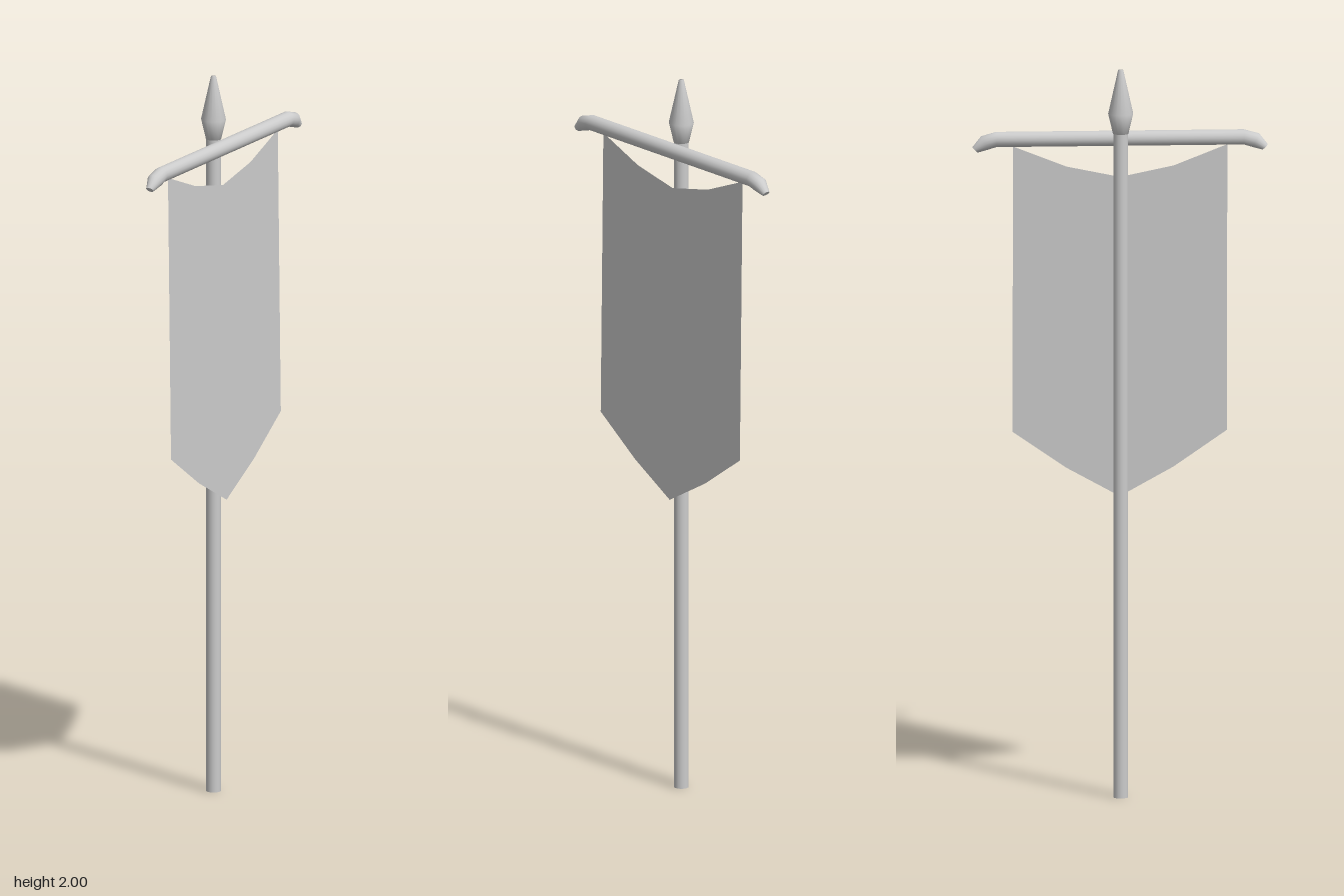
import * as THREE from 'three';

const POLE_X = -0.011;
const BAR_X = 0.022;

export function createModel() {
  const group = new THREE.Group();
  const grey = new THREE.MeshStandardMaterial({ color: 0xcccccc });
  const cloth = new THREE.MeshStandardMaterial({ color: 0xcccccc, side: THREE.DoubleSide });

  const add = (name, geometry, material = grey) => {
    const mesh = new THREE.Mesh(geometry, material);
    mesh.name = name;
    group.add(mesh);
    return mesh;
  };

  // Upright pole
  add('pole', new THREE.CylinderGeometry(0.02, 0.02, 1.83, 16)).position.set(POLE_X, 0.915, 0);

  // Spearhead finial
  const spearProfile = [[0, 1.825], [0.021, 1.825], [0.034, 1.88], [0.007, 2], [0, 2]]
    .map(([r, y]) => new THREE.Vector2(r, y));
  add('spearhead', new THREE.LatheGeometry(spearProfile, 16)).position.x = POLE_X;

  // Crossbar with tapered, drooping ends
  add('crossbar', crossbarGeometry());

  // Cloth: sagging top edge, pointed lower edge
  const half = [[0.29, 1.787], [0.145, 1.73], [0, 1.7]];
  const lower = [[0, 0.82], [0.145, 0.9], [0.29, 1]];
  const mirror = (points) => points.map(([z, y]) => [-z, y]).reverse();
  const outline = [...half, ...mirror(half).slice(1), ...mirror(lower), ...lower.slice(1)]
    .map(([z, y]) => new THREE.Vector2(z, y));
  const banner = new THREE.ShapeGeometry(new THREE.Shape(outline));
  banner.rotateY(Math.PI / 2);
  const p = banner.attributes.position;
  for (let i = 0; i < p.count; i++) p.setX(i, BAR_X + (1.5 - p.getY(i)) * 0.012);
  banner.computeVertexNormals();
  add('banner', banner, cloth);

  return group;
}

// Lays the rings of a cylinder on stations: z, y, radius, droop angle
function crossbarGeometry() {
  const end = [[0.392, 1.778, 0.0105, 0.8], [0.366, 1.797, 0.021, 0.5], [0.335, 1.806, 0.021, 0]];
  const stations = [...end, ...end.map(([z, y, r, a]) => [-z, y, r, -a]).reverse()];
  const rows = stations.length - 1;
  const geometry = new THREE.CylinderGeometry(1, 1, 1, 16, rows);
  const pos = geometry.attributes.position;
  for (let i = 0; i < pos.count; i++) {
    const [z, y, r, a] = stations[Math.round((0.5 - pos.getY(i)) * rows)];
    const across = pos.getZ(i) * r;
    pos.setXYZ(i, BAR_X + pos.getX(i) * r, y - across * Math.cos(a), z - across * Math.sin(a));
  }
  geometry.computeVertexNormals();
  return geometry;
}
